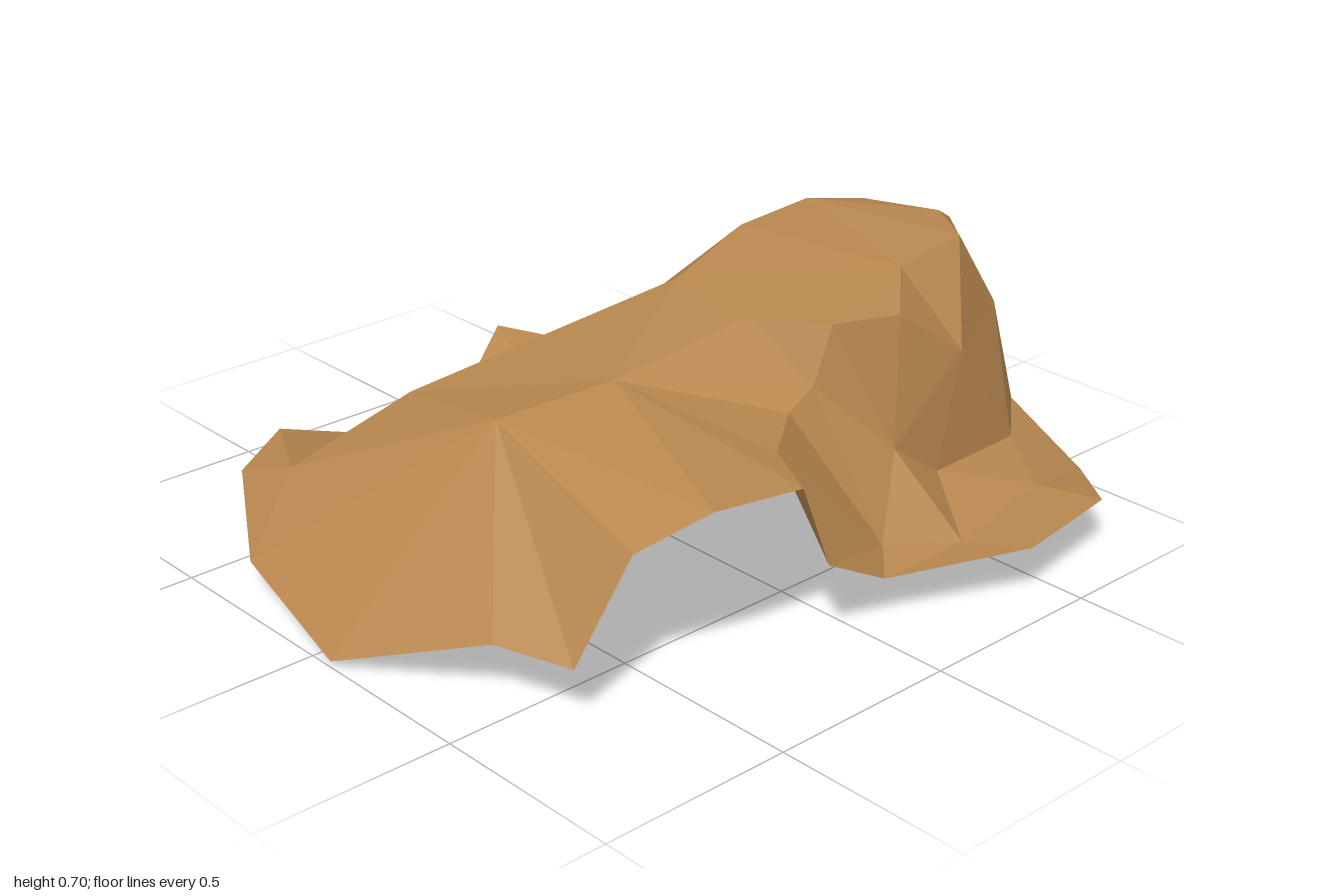
import * as THREE from 'three';

const stone = new THREE.MeshStandardMaterial({ color: 0xb8874f, flatShading: true, side: THREE.DoubleSide });
stone.name = 'sandstone';

const v = (x, y, z) => new THREE.Vector3(x, y, z);
const below = v(0.1, -1, -0.2);

// Shared ridge points
const brow = v(0.12, 0.49, 0.55), saddle = v(0.22, 0.54, 0.28), shoulder = v(-0.36, 0.365, 0.43);
const cheek = v(-0.45, 0.225, 0.73), flank = v(-0.45, 0.26, 0.12), hollow = v(-0.26, 0.452, -0.24);
const gully = v(-0.26, 0.26, -0.65), tuck = v(-0.13, 0.53, -0.79), cleft = v(-0.17, 0.25, -0.9);
const nook = v(-0.03, 0.38, -0.9), gullyLip = v(-0.34, 0.125, -0.72);

// Crown edges, from the saddle to the back
const crownRight = [v(-0.05, 0.595, -0.17), v(-0.13, 0.64, -0.47), v(-0.13, 0.655, -0.71), v(-0.08, 0.63, -0.87)];
const crownLeft = [v(0.26, 0.6, -0.11), v(0.46, 0.62, -0.19), v(0.38, 0.66, -0.51), v(0.4, 0.7, -0.7), v(0.22, 0.685, -0.83), v(0.18, 0.635, -0.92)];
const crownCorner = v(0.4, 0.485, -0.85);

// Rim of the front apron, from its right to its left
const apronRim = [v(-0.36, 0.07, 0.92), v(0.07, 0.015, 1), v(0.44, 0.15, 0.83), v(0.64, 0.15, 0.77), v(0.66, 0.38, 0.62), v(0.76, 0.47, 0.48)];
const overhang = [v(0.78, 0.45, 0.23), v(0.61, 0.45, 0.14), v(0.48, 0.45, -0.03), v(0.46, 0.48, -0.13)];

// Right side foot and valley
const rightFoot = [v(-0.7, 0.015, 0.08), v(-0.735, 0.18, 0.57), v(-0.64, 0.155, 0.75)];
const valley = [rightFoot[0], v(-0.54, 0.045, -0.17), v(-0.54, 0.055, -0.58)];

// Left wall and ledge, from front to back
const wallMid = [crownLeft[1], v(0.49, 0.6, -0.39), v(0.52, 0.46, -0.59), crownCorner];
const wallFoot = [v(0.58, 0.31, -0.29), v(0.58, 0.2, -0.45), v(0.53, 0.17, -0.79)];
const ledgeInner = [v(0.68, 0.14, -0.15), v(0.77, 0.12, -0.33), v(0.71, 0.14, -0.67), wallFoot[2]];
const ledgeRim = [v(0.77, 0.12, -0.06), v(0.925, 0.14, -0.4), v(0.87, 0.135, -0.73), v(0.65, 0.075, -0.93)];
const step = v(0.78, 0.23, 0.14);

// Back foot
const bulge = v(0.18, 0.16, -1), heel = v(0.37, 0.165, -0.985), backCorner = v(0.47, 0.055, -0.965);
const backFoot = [cleft, v(-0.12, 0.05, -0.93), v(0.28, 0, -0.96), backCorner, heel];

// Stitch two lines of points with triangles, always taking the shorter diagonal
function strip(a, b) {
  const tris = [];
  let i = 0, j = 0;
  while (i < a.length - 1 || j < b.length - 1) {
    const stepA = j === b.length - 1 ||
      (i < a.length - 1 && a[i + 1].distanceTo(b[j]) <= a[i].distanceTo(b[j + 1]));
    if (stepA) tris.push([a[i], a[++i], b[j]]);
    else tris.push([a[i], b[j], b[++j]]);
  }
  return tris;
}
const fan = (hub, rim) => strip([hub], rim);

// Make one faceted part, with every face turned outward
function part(name, ...patches) {
  const points = [];
  for (const [a, b, c] of patches.flat()) {
    const n = b.clone().sub(a).cross(c.clone().sub(a));
    if (n.lengthSq() < 1e-12) continue;
    const mid = a.clone().add(b).add(c).divideScalar(3).sub(below);
    points.push(...(n.dot(mid) > 0 ? [a, b, c] : [a, c, b]));
  }
  const geometry = new THREE.BufferGeometry().setFromPoints(points);
  geometry.computeVertexNormals();
  const mesh = new THREE.Mesh(geometry, stone);
  mesh.name = name;
  return mesh;
}

export function createModel() {
  const group = new THREE.Group();
  group.name = 'rockShell';
  group.add(
    part('frontApron',
      fan(brow, [saddle, shoulder, cheek, ...apronRim, saddle])),
    part('saddle',
      fan(saddle, [apronRim[5], ...overhang, crownLeft[0], crownRight[0], shoulder])),
    part('rightFlank',
      fan(cheek, [...rightFoot, apronRim[0]]),
      fan(flank, [crownRight[0], shoulder, cheek, valley[0], valley[1], hollow, crownRight[0]]),
      fan(hollow, [valley[1], valley[2], gully, crownRight[2], crownRight[1], crownRight[0]])),
    part('rightFlap',
      strip(valley, [v(-0.925, 0.165, -0.3), v(-0.82, 0.138, -0.4)])),
    part('crown',
      strip(crownRight, crownLeft),
      fan(crownCorner, crownLeft.slice(3))),
    part('leftWall',
      strip([...crownLeft.slice(1, 4), crownCorner], wallMid),
      strip(wallMid, wallFoot),
      fan(overhang[3], [crownLeft[0], crownLeft[1], wallFoot[0], ledgeInner[0], overhang[2]]),
      fan(ledgeInner[0], [overhang[2], overhang[1], step, ledgeRim[0]]),
      fan(step, [overhang[0], overhang[1]])),
    part('leftLedge',
      strip(wallFoot, ledgeInner),
      strip(ledgeInner, ledgeRim)),
    part('backWall',
      fan(gully, [valley[2], gullyLip, cleft, tuck, crownRight[2]]),
      fan(backFoot[1], [gullyLip, cleft]),
      fan(tuck, [crownRight[2], crownRight[3], nook, cleft]),
      fan(nook, [crownRight[3], bulge, cleft]),
      strip([crownRight[3], crownLeft[5], crownCorner, wallFoot[2]], [bulge, heel]),
      fan(heel, [wallFoot[2], ledgeRim[3], backCorner]),
      fan(bulge, backFoot)),
  );
  return group;
}
